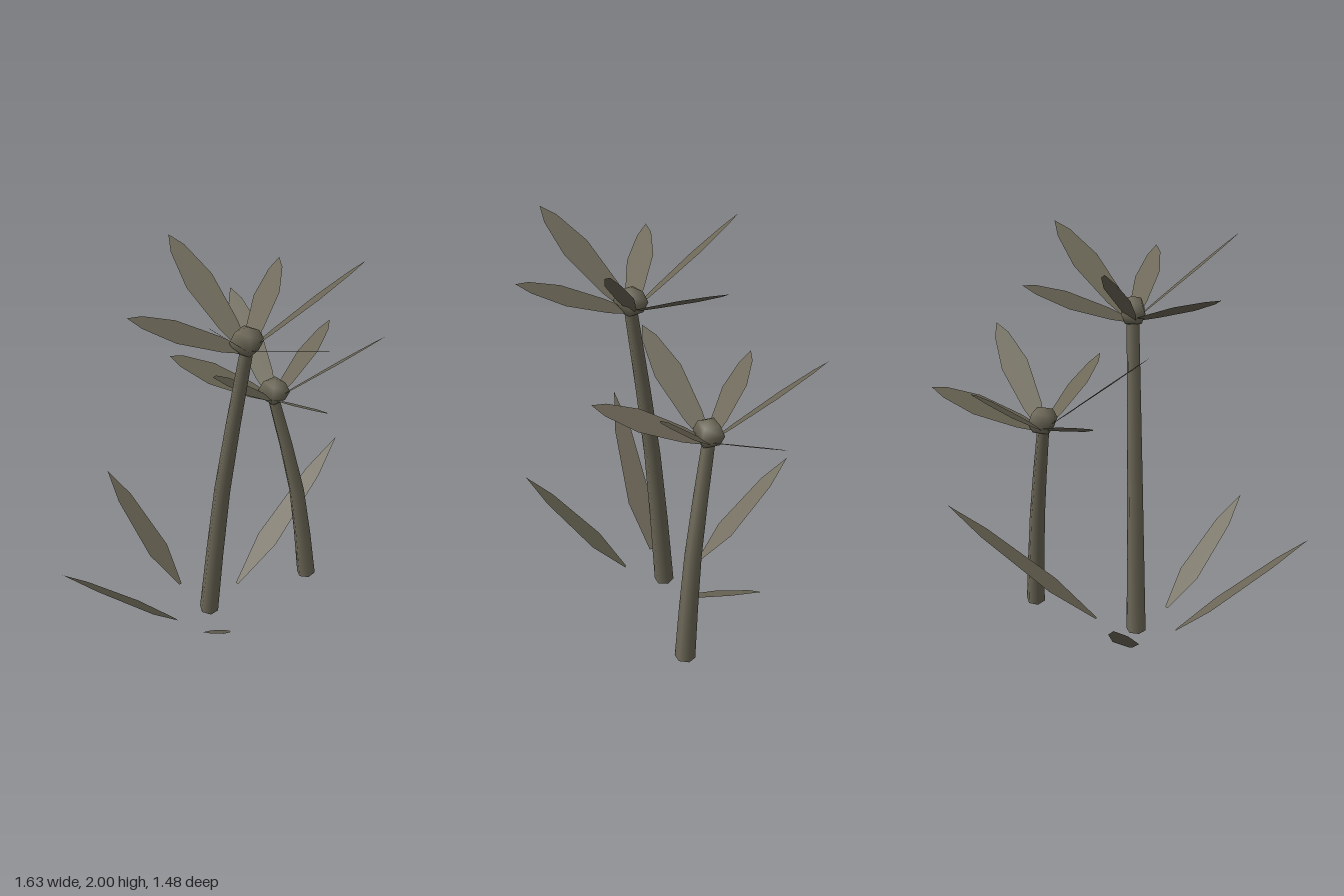
import * as THREE from 'three';

const foliage = new THREE.MeshStandardMaterial({ color: 0x6c6757, side: THREE.DoubleSide });
foliage.name = 'dull olive';

// half-width profiles: [fraction of length, half width]
const PETAL = [[0, 0.015], [0.22, 0.046], [0.6, 0.067], [0.88, 0.036], [1, 0]];
const BLADE = [[0, 0.008], [0.3, 0.064], [0.76, 0.045], [1, 0]];

// flat leaf outline lying in the xz plane, growing along +x, facing up
function leafGeometry(profile, length) {
  const upper = profile.map(([t, w]) => new THREE.Vector2(t * length, w));
  const lower = profile.slice(0, -1).reverse().map(([t, w]) => new THREE.Vector2(t * length, -w));
  return new THREE.ShapeGeometry(new THREE.Shape([...upper, ...lower])).rotateX(-Math.PI / 2);
}

// leaf from a base point: heading turns from +x towards +z
function leaf(name, profile, base, heading, reach, rise, roll) {
  const mesh = new THREE.Mesh(leafGeometry(profile, Math.hypot(reach, rise)), foliage);
  mesh.name = name;
  mesh.position.copy(base);
  mesh.rotation.set(-roll, -heading, Math.atan2(rise, reach), 'YZX');
  return mesh;
}

// bent open tube, tapering from r0 to r1
function stem(points, r0, r1) {
  const curve = new THREE.CatmullRomCurve3(points);
  const rings = 4, sides = 6;
  const geo = new THREE.TubeGeometry(curve, rings, 1, sides);
  const pos = geo.attributes.position;
  const v = new THREE.Vector3();
  for (let i = 0; i < pos.count; i++) {
    const t = Math.floor(i / (sides + 1)) / rings;
    const c = curve.getPointAt(t);
    v.fromBufferAttribute(pos, i).sub(c).multiplyScalar(r0 + (r1 - r0) * t).add(c);
    pos.setXYZ(i, v.x, Math.max(0, v.y), v.z);
  }
  const mesh = new THREE.Mesh(geo, foliage);
  mesh.name = 'stem';
  return mesh;
}

// stem with a bud and six petals alternating steep and shallow
function flower(name, points, turn) {
  const group = new THREE.Group();
  group.name = name;
  group.add(stem(points, 0.05, 0.03));
  const top = points[points.length - 1];
  const bud = new THREE.Mesh(new THREE.SphereGeometry(0.078, 4, 4), foliage);
  bud.name = 'bud';
  bud.scale.y = 0.9;
  bud.rotation.y = -turn;
  bud.position.set(top.x, top.y + 0.05, top.z);
  group.add(bud);
  for (let i = 0; i < 6; i++) {
    const rise = i % 2 ? 0.22 : 0.38;
    group.add(leaf('petal', PETAL, top, turn + i * Math.PI / 3, 0.515, rise, 0.36));
  }
  return group;
}

export function createModel() {
  const model = new THREE.Group();
  model.name = 'flowerCluster';
  const P = (x, y, z) => new THREE.Vector3(x, y, z);

  model.add(flower('tallFlower', [P(-0.06, 0.01, 0), P(0.0, 0.82, 0.05), P(0.09, 1.62, 0.13)], 0));
  model.add(flower('shortFlower', [P(0.52, 0.01, -0.17), P(0.45, 0.57, -0.195), P(0.325, 1.11, -0.245)], 0.307));

  // ground blades radiating from the tall stem: tip x, y, z
  for (const [x, y, z] of [[-0.81, 0.7, 0.37], [-0.49, 0.54, -0.61], [-0.14, 0.54, 0.73], [0.76, 0.64, -0.52]]) {
    const heading = Math.atan2(z, x + 0.06);
    const base = P(-0.06 + 0.21 * Math.cos(heading), 0.05, 0.21 * Math.sin(heading));
    const reach = Math.hypot(x + 0.06, z) - 0.21;
    model.add(leaf('groundBlade', BLADE, base, heading, reach, y - 0.05, 0));
  }
  return model;
}
